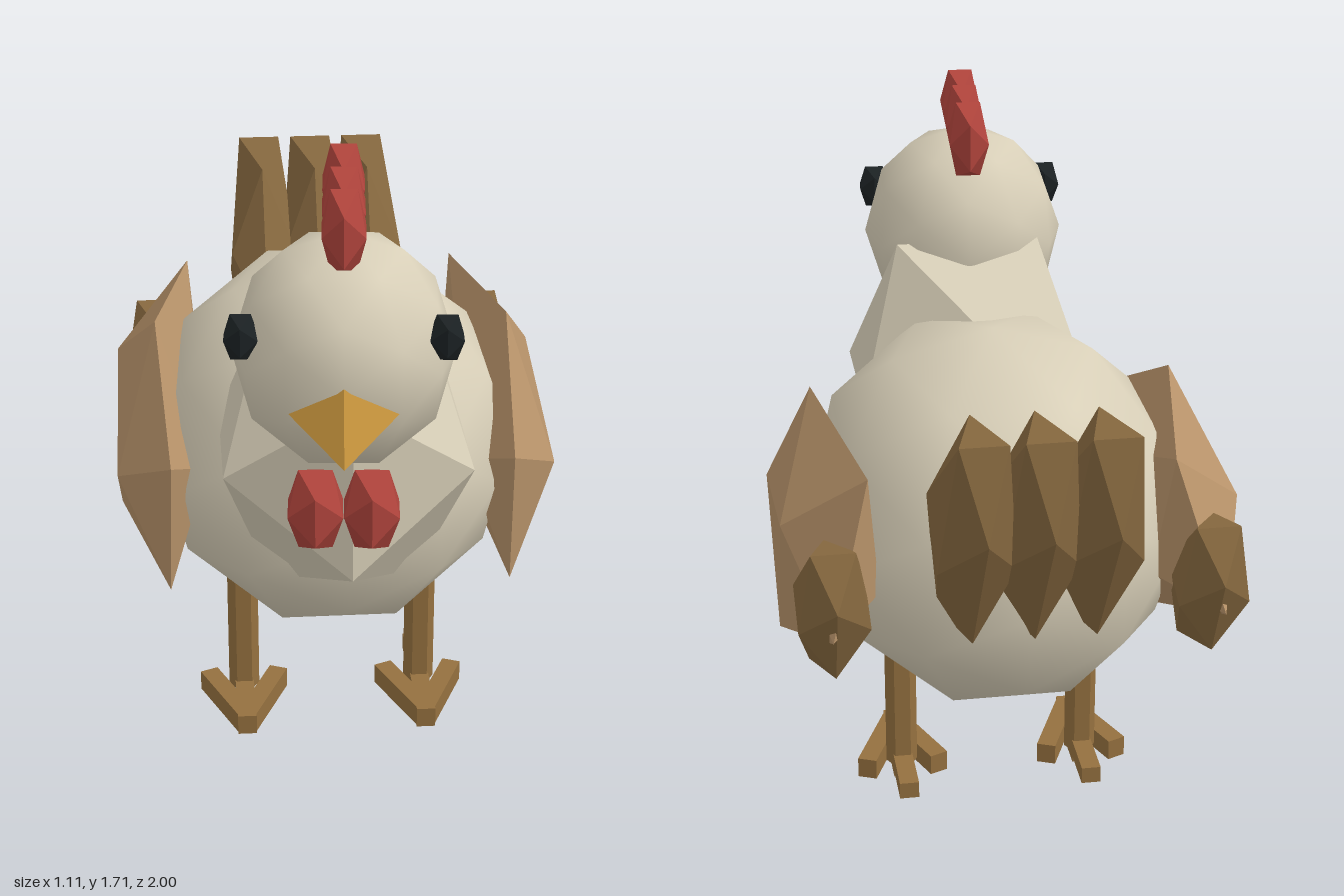
import * as THREE from 'three';
import { ConvexGeometry } from 'three/addons/geometries/ConvexGeometry.js';

const material = (color, flatShading = true) => new THREE.MeshStandardMaterial({ color, flatShading });
const plumage = material(0xd8cfb8, false);
const ruffPlumage = material(0xd8cfb8);
const wingBrown = material(0xb8936a);
const tailBrown = material(0x86683f);
const legBrown = material(0x94703f);
const beakGold = material(0xba8a38);
const red = material(0xb0443c);
const black = material(0x1c2224);

const gem = new THREE.IcosahedronGeometry(1, 0);
const ball = new THREE.IcosahedronGeometry(1, 1);

function add(parent, name, geometry, mat, position, scale = [1, 1, 1], rotation = [0, 0, 0]) {
  const mesh = new THREE.Mesh(geometry, mat);
  mesh.name = name;
  mesh.position.set(...position);
  mesh.scale.set(...scale);
  mesh.rotation.set(...rotation);
  parent.add(mesh);
  return mesh;
}

function makeHead() {
  const head = new THREE.Group();
  head.name = 'head';
  head.position.set(-0.015, 1.3, 0.495);
  head.rotation.y = -0.075; // looks slightly to its right
  add(head, 'skull', ball, plumage, [0, 0, 0], [0.26, 0.28, 0.28]);

  // Four-sided beak
  const beak = new THREE.ConeGeometry(1, 1, 4).rotateX(Math.PI / 2);
  add(head, 'beak', beak, beakGold, [0, -0.06, 0.345], [0.143, 0.113, 0.32]);

  // Comb along the crown
  for (const z of [0.075, -0.07, -0.225]) {
    add(head, 'comb', gem, red, [0, 0.315, z], [0.058, 0.113, 0.1]);
  }
  for (const s of [-1, 1]) {
    add(head, 'eye', gem, black, [s * 0.23, 0.08, 0.125], [0.045, 0.065, 0.045]);
    add(head, 'wattle', gem, red, [s * 0.064, -0.31, 0.205], [0.074, 0.116, 0.09]);
  }
  return head;
}

function makeWing(side) {
  const wing = new THREE.Group();
  wing.name = side > 0 ? 'leftWing' : 'rightWing';
  // Faceted shell: rim, outer bulge, inner side
  const points = [
    [0.42, 0.91, 0.32], [0.45, 1.12, -0.1], [0.36, 1.09, -0.585],
    [0.46, 0.745, -0.72], [0.4, 0.515, -0.22], [0.43, 0.53, 0.24],
    [0.555, 0.905, -0.42], [0.555, 0.79, 0.11], [0.555, 0.535, -0.24],
    [0.33, 0.75, -0.5], [0.33, 0.8, 0.1],
  ].map(([x, y, z]) => new THREE.Vector3(side * x, y, z));
  add(wing, 'wingShell', new ConvexGeometry(points), wingBrown, [0, 0, 0]);
  add(wing, 'wingTip', gem, tailBrown, [side * 0.45, 0.765, -0.58], [0.1, 0.23, 0.14], [-0.42, 0, 0]);
  return wing;
}

function makeLeg(side) {
  const leg = new THREE.Group();
  leg.name = side > 0 ? 'leftLeg' : 'rightLeg';
  leg.position.set(side * 0.24, 0, -0.105);
  const shank = new THREE.CylinderGeometry(0.041, 0.041, 0.4, 6).rotateY(Math.PI / 6);
  add(leg, 'shank', shank, legBrown, [0, 0.23, 0]);

  // Toes meet at the front of the foot
  const toe = new THREE.BoxGeometry(0.05, 0.055, 0.25);
  add(leg, 'middleToe', toe, legBrown, [0, 0.0275, 0.085]);
  for (const s of [-1, 1]) {
    add(leg, 'sideToe', toe, legBrown, [s * 0.047, 0.0275, 0.083], [1, 1, 1], [0, -s * 0.4, 0]);
  }
  add(leg, 'backToe', new THREE.BoxGeometry(0.05, 0.045, 0.19), legBrown, [0, 0.039, -0.075]);
  return leg;
}

export function createModel() {
  const chicken = new THREE.Group();
  chicken.name = 'chicken';

  add(chicken, 'body', ball, plumage, [0, 0.785, -0.13], [0.475, 0.475, 0.62]);
  add(chicken, 'neckRuff', gem, ruffPlumage, [0, 0.965, 0.3], [0.35, 0.43, 0.347]);
  chicken.add(makeHead());

  // Tail fan
  for (const x of [-0.145, 0, 0.145]) {
    add(chicken, 'tailFeather', gem, tailBrown, [x, 1.02, -0.74], [0.105, 0.42, 0.2], [-0.585, 0, 0]);
  }
  for (const side of [-1, 1]) {
    chicken.add(makeWing(side));
    chicken.add(makeLeg(side));
  }
  return chicken;
}
